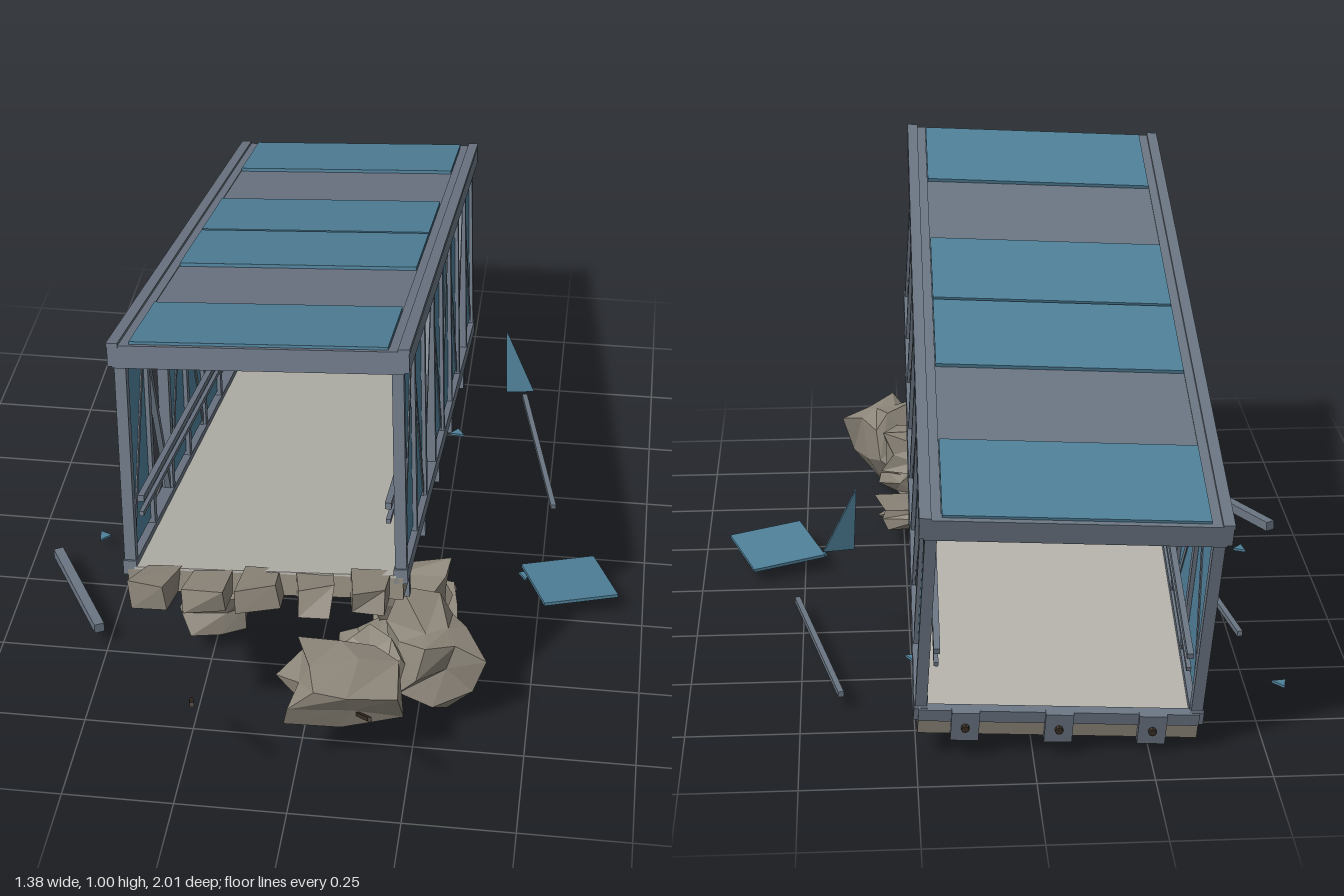
import * as THREE from 'three';

const mat = (color, extra = {}) => new THREE.MeshStandardMaterial({ color, flatShading: true, ...extra });
const steel = mat(0x6b7683);
const glass = mat(0x4f8099, { side: THREE.DoubleSide });
const floorMat = mat(0xb4b2ab);
const concrete = mat(0x8e877b);
const rust = mat(0x3a2e26);

function add(parent, name, geo, material, x = 0, y = 0, z = 0) {
  const m = new THREE.Mesh(geo, material);
  m.name = name;
  m.position.set(x, y, z);
  parent.add(m);
  return m;
}

const box = (parent, name, material, w, h, d, x, y, z) =>
  add(parent, name, new THREE.BoxGeometry(w, h, d), material, x, y, z);

// Square bar running between two points
function bar(parent, name, material, a, b, w, h = w) {
  const p = new THREE.Vector3(...a), q = new THREE.Vector3(...b);
  const m = box(parent, name, material, w, h, p.distanceTo(q), 0, 0, 0);
  m.position.copy(p).lerp(q, 0.5);
  m.quaternion.setFromRotationMatrix(new THREE.Matrix4().lookAt(q, p, new THREE.Vector3(0, 1, 0)));
  return m;
}

// Broken concrete lump: a box whose points are shifted by a position hash
function lump(parent, name, [w, h, d], [x, y, z], seed, rot = [0, 0, 0], segs = 2, amount = 0.3) {
  const geo = new THREE.BoxGeometry(1, 1, 1, segs, segs, segs);
  const p = geo.attributes.position;
  const v = new THREE.Vector3();
  const hash = (k) => {
    const s = Math.sin(v.x * 127.1 + v.y * 311.7 + v.z * 74.7 + seed * 19.3 + k * 53.9) * 43758.5453;
    return s - Math.floor(s) - 0.5;
  };
  for (let i = 0; i < p.count; i++) {
    v.fromBufferAttribute(p, i);
    p.setXYZ(i, v.x + hash(1) * amount, v.y + hash(2) * amount, v.z + hash(3) * amount);
  }
  geo.scale(w, h, d);
  geo.computeVertexNormals();
  add(parent, name, geo, concrete, x, y, z).rotation.set(...rot);
}

// Thin triangular piece of glass drawn in its own xy plane
function shard(parent, name, points) {
  const shape = new THREE.Shape(points.map(([x, y]) => new THREE.Vector2(x, y)));
  return add(parent, name, new THREE.ExtrudeGeometry(shape, { depth: 0.006, bevelEnabled: false }), glass);
}

function buildBridge() {
  const g = new THREE.Group();
  g.name = 'bridgeSection';
  const mid = 0.012, half = 0.845, bay = 0.211, wallX = 0.295;
  const low = 0.3, high = 0.765;

  // Floor slab, light walking surface and cross beams
  box(g, 'floorSlab', concrete, 0.6, 0.05, 1.7, 0, 0.268, mid);
  box(g, 'floorSurface', floorMat, 0.57, 0.006, 1.7, 0, 0.295, mid);
  for (let i = -2; i <= 2; i++)
    box(g, 'floorBeam', steel, 0.59, 0.068, 0.024, 0, 0.21, mid + i * 0.338);

  // Roof plate, rims, cross beams and raised glazing
  box(g, 'roofPlate', steel, 0.6, 0.016, 1.69, 0, 0.794, mid);
  for (let i = -3; i <= 3; i++) {
    const end = Math.abs(i) === 3;
    box(g, 'roofBeam', steel, end ? 0.62 : 0.57, end ? 0.05 : 0.045, 0.026, 0, end ? 0.779 : 0.763, mid + i * 0.279);
  }
  for (const k of [-2.5, -0.5, 0.5, 2.5])
    box(g, 'roofGlass', glass, 0.55, 0.008, 0.272, 0, 0.806, mid + k * 0.281);

  // Truss side walls
  for (const s of [-1, 1]) {
    const x = s * wallX;
    box(g, 'topChord', steel, 0.044, 0.046, 1.7, s * 0.298, 0.781, mid);
    box(g, 'roofRim', steel, 0.025, 0.01, 1.704, s * 0.309, 0.805, mid);
    box(g, 'bottomChord', steel, 0.03, 0.032, 1.7, x, 0.296, mid);
    box(g, 'handrail', steel, 0.014, 0.014, 1.66, s * 0.268, 0.45, mid);
    box(g, 'lowerRail', steel, 0.01, 0.01, 1.66, s * 0.268, 0.415, mid);
    for (let i = 0; i <= 8; i++)
      box(g, 'post', steel, 0.025, high - low, 0.024, x, (low + high) / 2, mid + half - 0.013 - i * (bay - 0.003));
    const missing = s > 0 ? [2, 6] : [1, 5];
    for (let i = 0; i < 8; i++) {
      const zA = mid + half - 0.013 - i * (bay - 0.003), zB = zA - bay + 0.003;
      const [zLow, zTop] = i % 2 ? [zB, zA] : [zA, zB];
      bar(g, 'diagonal', steel, [x, low, zLow], [x, high, zTop], 0.013, 0.016);
      if (!missing.includes(i))
        box(g, 'wallGlass', glass, 0.008, 0.42, 0.176, x, 0.535, (zA + zB) / 2);
    }
  }

  // Connection plates at the rear edge
  box(g, 'rearSill', steel, 0.6, 0.03, 0.022, 0, 0.296, mid - half);
  for (const x of [-0.2, 0, 0.2]) {
    box(g, 'rearPlate', steel, 0.06, 0.075, 0.018, x, 0.275, mid - half - 0.012);
    const bolt = add(g, 'plateBolt', new THREE.CylinderGeometry(0.009, 0.009, 0.012, 8), rust, x, 0.275, mid - half - 0.024);
    bolt.rotation.x = Math.PI / 2;
  }

  // Broken front edge
  for (let i = -2; i <= 2; i++)
    lump(g, 'brokenEdge', [0.075, 0.055, 0.11], [i * 0.117, 0.272, 0.9], i + 7, [0, i * 0.07, 0], 1, 0.28);

  g.rotation.order = 'ZYX';
  g.rotation.set(-0.228, 0, 0.052);
  g.position.x = -0.05;
  return g;
}

function buildDebris() {
  const g = new THREE.Group();
  g.name = 'debris';

  // Concrete rubble: size, centre, rotation
  [
    [[0.16, 0.1, 0.14], [-0.25, 0.12, 0.4], [0.1, 0.2, 0.05]],
    [[0.21, 0.12, 0.16], [0.09, 0.19, 0.78], [0.2, 0.3, -0.25]],
    [[0.13, 0.16, 0.17], [0.275, 0.16, 0.6], [0.2, 0.4, -0.4]],
    [[0.14, 0.1, 0.13], [0.21, 0.185, 0.42], [0.1, -0.2, 0.2]],
    [[0.18, 0.08, 0.18], [0.18, 0.085, 0.52], [0, 0.4, 0.1]],
    [[0.16, 0.05, 0.2], [0.21, 0.06, 0.34], [0.15, 0.1, 0]],
    [[0.13, 0.1, 0.13], [0.14, 0.13, 0.64], [0.3, 0.6, 0.2]],
  ].forEach(([size, pos, rot], i) => lump(g, 'rubble', size, pos, i + 1, rot));

  // Reinforcing rods
  bar(g, 'reinforcingRod', rust, [-0.24, 0.14, 0.81], [-0.2, 0.29, 1], 0.009);
  bar(g, 'reinforcingRod', rust, [0.13, 0.14, 0.81], [0.18, 0.29, 1], 0.009);

  // Fallen steel members
  bar(g, 'fallenRod', steel, [0.41, 0.045, -0.65], [0.515, 0.045, -0.15], 0.013);
  bar(g, 'fallenRod', steel, [-0.515, 0.045, -0.4], [-0.455, 0.045, -0.02], 0.013);
  bar(g, 'fallenBeam', steel, [-0.68, 0.053, 0.2], [-0.52, 0.053, 0.48], 0.024);

  // Fallen glass pane
  const pane = box(g, 'fallenPane', glass, 0.185, 0.008, 0.185, 0.57, 0.05, 0.155);
  pane.rotation.set(0.11, 0.36, 0, 'XYZ');
  pane.rotation.x = -0.11;

  // Large upright shards
  for (const [x, y] of [[-0.435, 0.21], [0.405, 0.257]]) {
    const m = shard(g, 'largeShard', [[-0.03, 0], [0.04, 0.002], [-0.038, 0.166]]);
    m.position.set(x, y, -0.347);
    m.rotation.set(-0.22, 0.15, 0);
  }

  // Small chips on the ground
  [[-0.57, -0.64], [-0.44, -0.26], [-0.59, 0.1], [0.245, -0.46], [0.465, 0.13], [-0.34, -0.1], [-0.3, 0.18], [-0.42, 0.3]]
    .forEach(([x, z], i) => {
      const m = shard(g, 'glassChip', [[-0.015, -0.014], [0.017, -0.01], [-0.008, 0.019]]);
      m.position.set(x, 0.034, z);
      m.rotation.set(-Math.PI / 2, 0, i * 1.3);
    });
  return g;
}

export function createModel() {
  const model = new THREE.Group();
  model.name = 'collapsedFootbridge';
  model.add(buildBridge(), buildDebris());
  return model;
}
